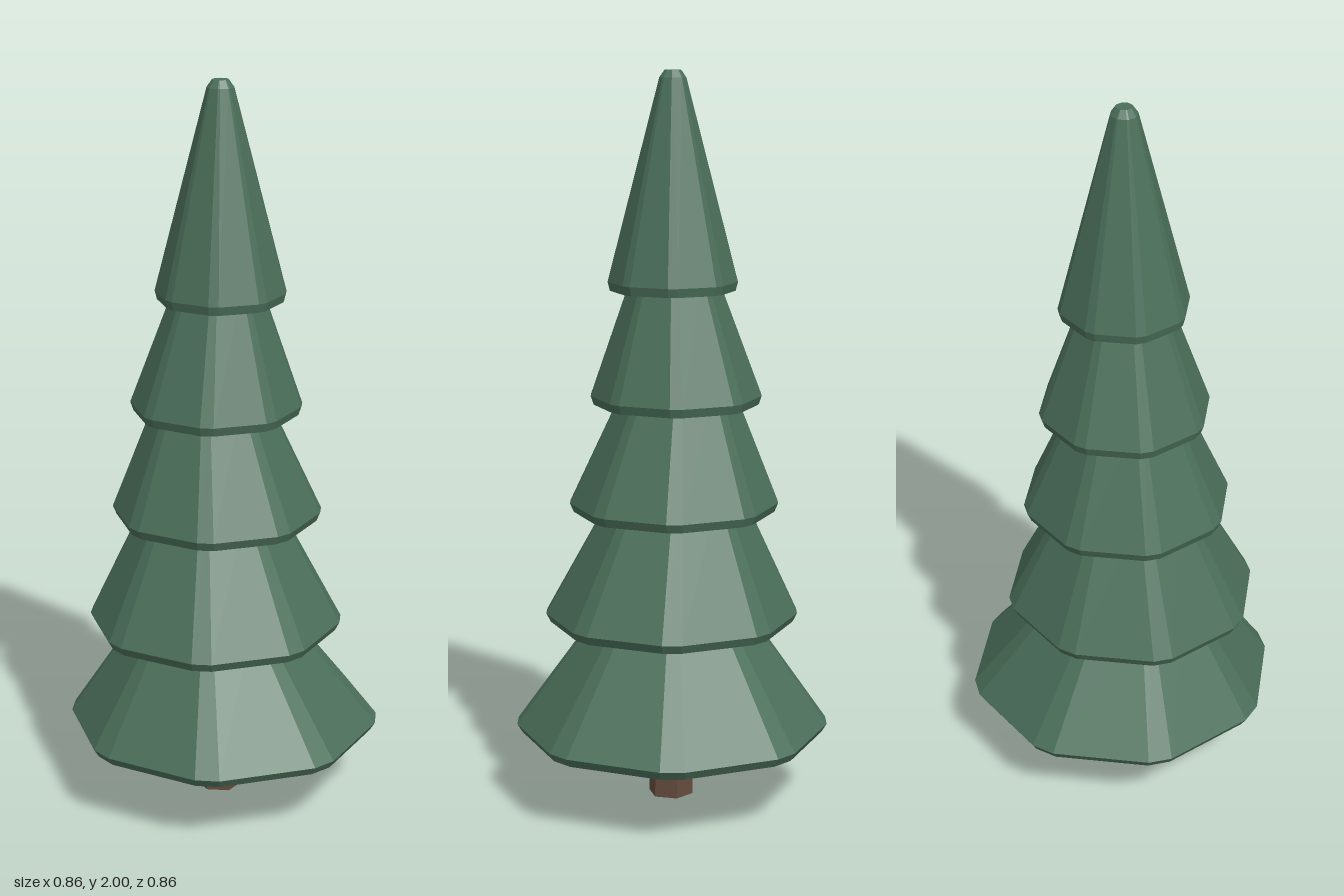
import * as THREE from 'three';

// Octagon angles with every corner cut by a narrow chamfer
const CHAMFER = THREE.MathUtils.degToRad(4.4);
const tierAngles = [];
for (let k = 0; k < 8; k++) {
  tierAngles.push((k * Math.PI) / 4 - CHAMFER, (k * Math.PI) / 4 + CHAMFER);
}
// Plain hexagon with a flat side to the front
const trunkAngles = Array.from({ length: 6 }, (_, k) => Math.PI / 6 + (k * Math.PI) / 3);

// Closed solid through rings [radius, y, centreX, centreZ], listed bottom to top
function loft(rings, angles) {
  const n = angles.length;
  const pos = [];
  const idx = [];
  for (const [r, y, cx, cz] of rings) {
    for (const a of angles) pos.push(cx + r * Math.sin(a), y, cz + r * Math.cos(a));
  }
  const first = rings[0];
  const last = rings[rings.length - 1];
  const bottom = pos.length / 3;
  pos.push(first[2], first[1], first[3], last[2], last[1], last[3]);
  const topRow = (rings.length - 1) * n;
  for (let i = 0; i < n; i++) {
    const k = (i + 1) % n;
    for (let j = 0; j < rings.length - 1; j++) {
      const a = j * n + i, b = j * n + k;
      idx.push(a, b, b + n, a, b + n, a + n);
    }
    idx.push(bottom, k, i, bottom + 1, topRow + i, topRow + k);
  }
  const g = new THREE.BufferGeometry();
  g.setAttribute('position', new THREE.Float32BufferAttribute(pos, 3));
  g.setIndex(idx);
  const flat = g.toNonIndexed();
  flat.computeVertexNormals();
  return flat;
}

export function createModel() {
  const tree = new THREE.Group();
  tree.name = 'pineTree';

  const needles = new THREE.MeshStandardMaterial({ color: 0x4b6f5a });
  needles.name = 'needleGreen';
  const bark = new THREE.MeshStandardMaterial({ color: 0x654a3c });
  bark.name = 'barkBrown';

  // Trunk, tapering slightly upward
  const trunk = new THREE.Mesh(
    loft([[0.063, 0, -0.012, 0.012], [0.055, 0.25, -0.012, 0.012]], trunkAngles), bark);
  trunk.name = 'trunk';
  tree.add(trunk);

  // Foliage tiers: rim radius, underside y, rim centre, top radius, top y, top centre
  const tiers = [
    { r: 0.43, y: 0.19, x: -0.002, z: -0.002, topR: 0.18, topY: 0.56, tx: -0.026, tz: 0.016 },
    { r: 0.347, y: 0.497, x: -0.023, z: 0.02, topR: 0.165, topY: 0.88, tx: -0.036, tz: 0.01 },
    { r: 0.285, y: 0.81, x: -0.02, z: 0.008, topR: 0.14, topY: 1.17, tx: -0.034, tz: 0.004 },
    { r: 0.232, y: 1.107, x: -0.022, z: 0.002, topR: 0.11, topY: 1.47, tx: -0.016, tz: 0.003 },
    { r: 0.175, y: 1.417, x: -0.01, z: 0.003, topR: 0.036, topY: 1.98, tx: -0.01, tz: 0.003 },
  ];
  tiers.forEach((t, i) => {
    const rings = [
      [t.r * 0.965, t.y, t.x, t.z],
      [t.r, t.y + 0.024, t.x, t.z],
      [t.topR, t.topY, t.tx, t.tz],
    ];
    // Blunt tip on the last tier
    if (i === tiers.length - 1) rings.push([0.022, 2, t.tx, t.tz]);
    const tier = new THREE.Mesh(loft(rings, tierAngles), needles);
    tier.name = `foliageTier${i + 1}`;
    tree.add(tier);
  });

  return tree;
}
